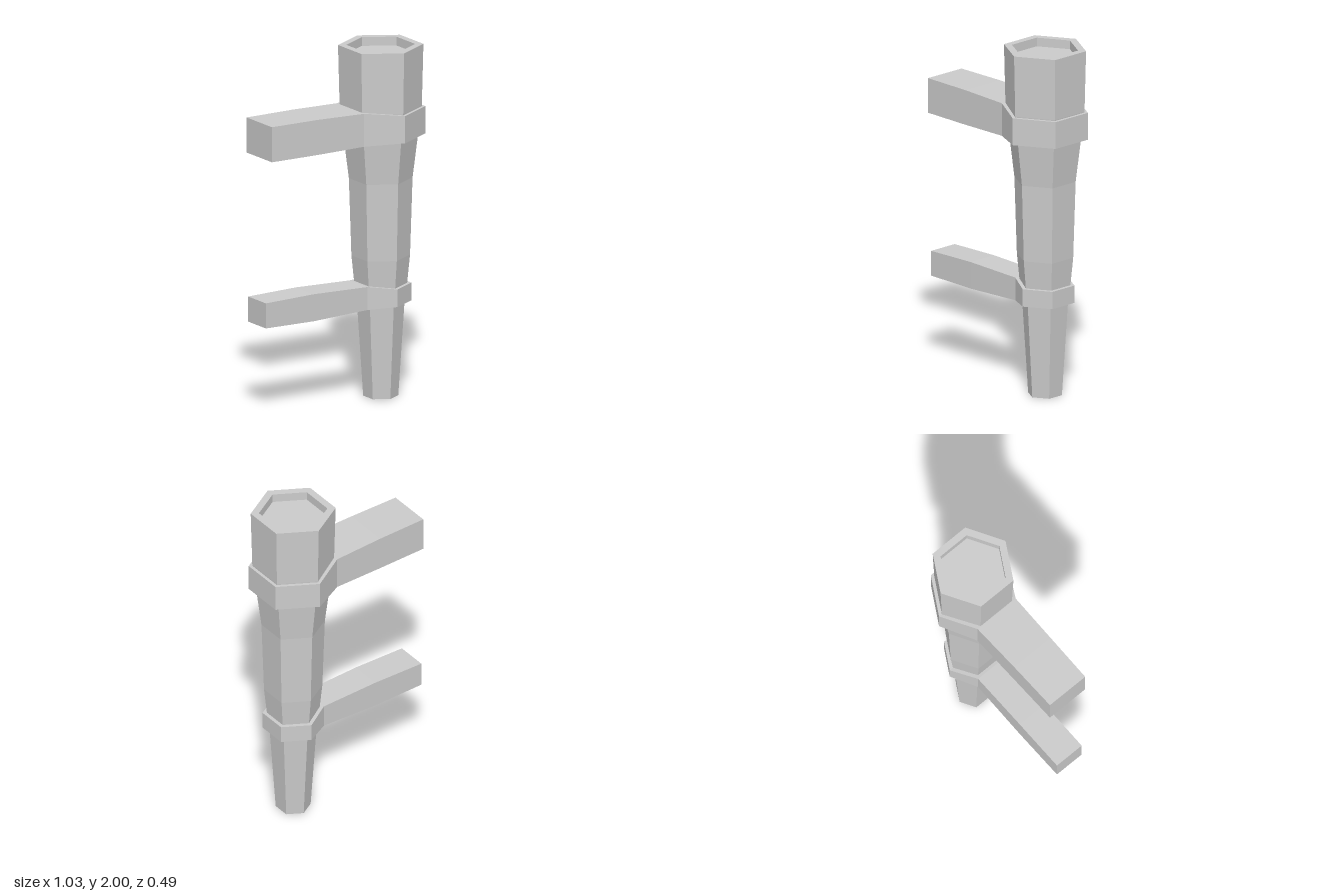
import * as THREE from 'three';

const AXIS_X = 0.3; // the post stands off-centre, its arms reach toward -x
const COS30 = Math.cos(Math.PI / 6);

function makeMesh(name, geometry) {
  const flat = geometry.index ? geometry.toNonIndexed() : geometry;
  flat.computeVertexNormals();
  const mesh = new THREE.Mesh(flat, new THREE.MeshStandardMaterial({ color: 0xcccccc, flatShading: true }));
  mesh.name = name;
  return mesh;
}

// Closed solid through rectangular sections [x, yLow, yHigh, zHalf] ordered along +x
function loftAlongX(sections) {
  const positions = [], index = [];
  for (const [x, lo, hi, z] of sections) {
    positions.push(x, lo, z, x, lo, -z, x, hi, -z, x, hi, z);
  }
  for (let i = 0; i < sections.length - 1; i++) {
    for (let k = 0; k < 4; k++) {
      const a = i * 4 + k, b = i * 4 + (k + 1) % 4;
      index.push(a, b, b + 4, a, b + 4, a + 4);
    }
  }
  const e = (sections.length - 1) * 4;
  index.push(0, 2, 1, 0, 3, 2, e, e + 1, e + 2, e, e + 2, e + 3);
  const geometry = new THREE.BufferGeometry();
  geometry.setAttribute('position', new THREE.Float32BufferAttribute(positions, 3));
  geometry.setIndex(index);
  return geometry;
}

// Arm sections flowing into a hexagonal band of the given radius
function bandWithArm(name, armSections, lo, hi, radius) {
  return makeMesh(name, loftAlongX([
    ...armSections,
    [AXIS_X, lo, hi, radius],
    [AXIS_X + radius * COS30, lo, hi, radius / 2],
  ]));
}

export function createModel() {
  const group = new THREE.Group();
  group.name = 'hexagonalPostWithArms';

  // Tapered six-sided post with a shallow recess in its top
  const profile = [
    [0, 0], [0.097, 0], [0.132, 0.54], [0.146, 0.64], [0.162, 0.8], [0.176, 1.24],
    [0.207, 1.49], [0.227, 1.65], [0.236, 2], [0.19, 2], [0.19, 1.95], [0, 1.95],
  ].map(([r, y]) => new THREE.Vector2(r, y));
  const post = makeMesh('post', new THREE.LatheGeometry(profile, 6));
  post.position.x = AXIS_X;
  group.add(post);

  // Upper band and its wide arm
  group.add(bandWithArm('upperBandAndArm', [
    [-0.5, 1.47, 1.67, 0.128],
    [-0.2, 1.47, 1.67, 0.132],
    [0.1, 1.475, 1.663, 0.138],
  ], 1.49, 1.645, 0.247));

  // Lower band and its slimmer, slightly bowed arm
  group.add(bandWithArm('lowerBandAndArm', [
    [-0.515, 0.517, 0.66, 0.09],
    [-0.2, 0.513, 0.667, 0.09],
    [0.155, 0.526, 0.657, 0.088],
  ], 0.54, 0.64, 0.17));

  return group;
}
